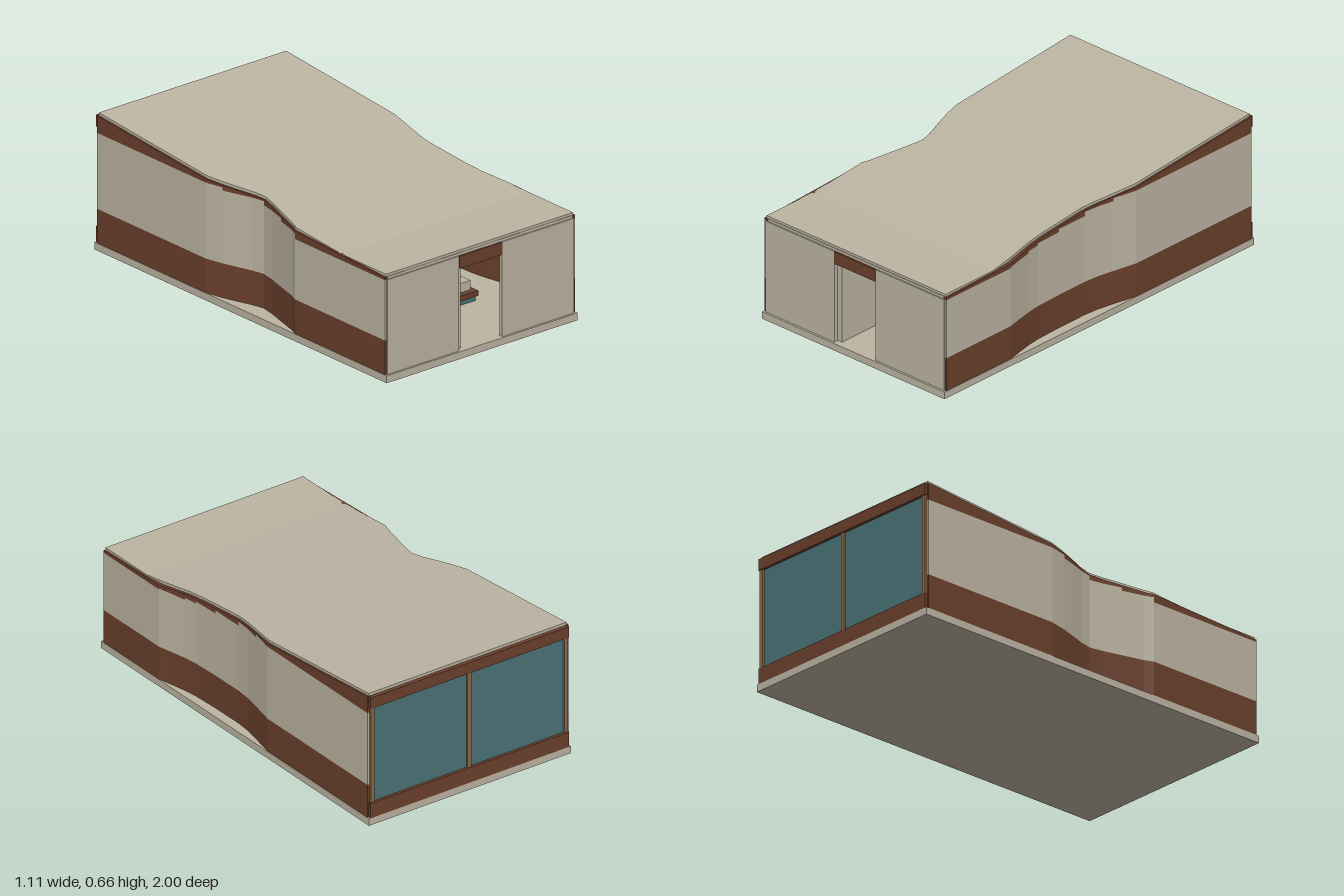
import * as THREE from 'three';

const mat = (name, color, side = THREE.FrontSide) => {
  const m = new THREE.MeshStandardMaterial({ color, side });
  m.name = name;
  return m;
};

// roof top height along z, and linear lookup in [z, value] lists sorted from front to back
const roofY = (z) => 0.515 + (Math.max(0, 0.68 - z) / 1.66) * 0.145;
const lookup = (list, z) => {
  for (let i = 1; i < list.length; i++) {
    const [z0, v0] = list[i - 1], [z1, v1] = list[i];
    if (z >= z1) return v0 + ((v1 - v0) * (z0 - z)) / (z0 - z1);
  }
  return list[list.length - 1][1];
};

// six-sided solids from rings of four corners, each pair of rings joined and capped
function solid(pairs) {
  const pos = [];
  const quad = (a, b, c, d) => pos.push(...a, ...b, ...c, ...a, ...c, ...d);
  for (const [f, b] of pairs) {
    // corners: 0 low -x, 1 low +x, 2 high +x, 3 high -x; f is the +z end
    quad(f[0], f[1], f[2], f[3]);
    quad(b[1], b[0], b[3], b[2]);
    for (let k = 0; k < 4; k++) {
      const n = (k + 1) % 4;
      quad(f[n], f[k], b[k], b[n]);
    }
  }
  const g = new THREE.BufferGeometry();
  g.setAttribute('position', new THREE.Float32BufferAttribute(pos, 3));
  g.computeVertexNormals();
  return g;
}
const ring = (x0, x1, y0, y1, z) => [[x0, y0, z], [x1, y0, z], [x1, y1, z], [x0, y1, z]];

export function createModel() {
  const group = new THREE.Group();
  group.name = 'pavilion';
  const plaster = mat('plaster', 0xbdb5a3);
  const timber = mat('dark timber', 0x6b402c);
  const glass = mat('teal glass', 0x4b7378);
  const frame = mat('light timber', 0x8a6a45);

  const add = (name, geo, material) => {
    const mesh = new THREE.Mesh(geo, material);
    mesh.name = name;
    group.add(mesh);
    return mesh;
  };
  const box = (name, m, x0, x1, y0, y1, z0, z1) =>
    add(name, new THREE.BoxGeometry(x1 - x0, y1 - y0, z1 - z0), m)
      .position.set((x0 + x1) / 2, (y0 + y1) / 2, (z0 + z1) / 2);

  box('floorSlab', plaster, -0.555, 0.555, 0, 0.035, -1, 1);

  // curved side walls: distance from the centre line, front to back
  const leftWall = [[0.985, 0.553], [0.57, 0.553], [0.5, 0.537], [0.42, 0.521], [0.35, 0.512],
    [0.21, 0.507], [0.04, 0.506], [-0.04, 0.513], [-0.12, 0.528], [-0.24, 0.553], [-0.985, 0.553]];
  const rightWall = [[0.985, 0.553], [0.37, 0.553], [0.33, 0.536], [0.22, 0.507], [0.13, 0.483],
    [0.06, 0.47], [0, 0.483], [-0.08, 0.51], [-0.15, 0.532], [-0.24, 0.553], [-0.985, 0.553]];
  // stepped top of the plaster panels
  const steps = [[0.57, 0.49], [0.45, 0.495], [0.35, 0.505], [0.21, 0.515], [0.04, 0.53], [-0.12, 0.55]];
  const panelTop = (z) => (steps.find(([end]) => z > end) || [0, 0.565])[1];

  for (const [side, s, list] of [['left', 1, leftWall], ['right', -1, rightWall]]) {
    const band = (low, high) => {
      const pairs = [];
      for (let i = 1; i < list.length; i++) {
        const mid = (list[i - 1][0] + list[i][0]) / 2;
        pairs.push([list[i - 1], list[i]].map(([z, x]) => {
          const a = s * x, b = s * (x - 0.018);
          return ring(Math.min(a, b), Math.max(a, b), low(mid), high(z, mid), z);
        }));
      }
      return solid(pairs);
    };
    add(side + 'WallBase', band(() => 0.035, () => 0.2), timber);
    add(side + 'WallPanels', band(() => 0.2, (z, mid) => panelTop(mid)), plaster);
    add(side + 'WallFascia', band(panelTop, (z) => roofY(z) - 0.013), timber);
  }

  // sloping roof with pinched sides
  const roofLeft = [[0.982, 0.544], [0.68, 0.544], [0.55, 0.53], [0.4, 0.505], [0.3, 0.498],
    [0.05, 0.494], [-0.02, 0.503], [-0.12, 0.522], [-0.24, 0.544], [-0.982, 0.544]];
  const roofRight = [[0.982, 0.544], [0.37, 0.544], [0.33, 0.53], [0.22, 0.5], [0.12, 0.473],
    [0.06, 0.461], [0, 0.473], [-0.08, 0.5], [-0.15, 0.522], [-0.24, 0.544], [-0.982, 0.544]];
  const zs = [...new Set([...roofLeft, ...roofRight].map((p) => p[0]))].sort((a, b) => b - a);
  const roofRings = zs.map((z) =>
    ring(-lookup(roofRight, z), lookup(roofLeft, z), roofY(z) - 0.014, roofY(z), z));
  add('roof', solid(roofRings.slice(1).map((r, i) => [roofRings[i], r])), plaster);

  // front wall with doorway
  for (const s of [-1, 1])
    box('frontWall', plaster, s < 0 ? -0.543 : 0.125, s < 0 ? -0.125 : 0.543, 0.035, 0.49, 0.97, 0.99);
  box('frontHeader', plaster, -0.543, 0.543, 0.49, 0.503, 0.97, 0.984);
  box('doorLintel', timber, -0.125, 0.125, 0.43, 0.49, 0.97, 0.992);

  // glazed back wall
  box('backSill', timber, -0.546, 0.546, 0.035, 0.11, -1, -0.975);
  box('backBeam', timber, -0.546, 0.546, 0.59, 0.645, -1, -0.975);
  box('backGlass', glass, -0.535, 0.535, 0.11, 0.59, -0.986, -0.98);
  for (const x of [-0.532, 0, 0.532])
    box('backMullion', frame, x - 0.01, x + 0.01, 0.11, 0.59, -0.996, -0.975);

  // partitions seen through the doorway
  box('hallPartition', plaster, -0.125, -0.1, 0.035, 0.43, 0.35, 0.968);
  box('crossPartition', plaster, -0.09, 0.055, 0.035, 0.4, 0.1, 0.12);
  box('crossPartitionCap', timber, -0.1, 0.055, 0.4, 0.412, 0.1, 0.122);
  box('lowPartition', plaster, 0.075, 0.3, 0.035, 0.29, -0.3, -0.28);
  box('lowPartitionCap', timber, 0.075, 0.3, 0.29, 0.298, -0.3, -0.278);

  // bench with cushion
  box('benchBase', glass, 0.09, 0.3, 0.035, 0.065, 0.35, 0.6);
  box('benchSeat', timber, 0.065, 0.3, 0.065, 0.09, 0.33, 0.62);
  box('benchCushion', plaster, 0.08, 0.28, 0.09, 0.135, 0.36, 0.59);
  return group;
}
